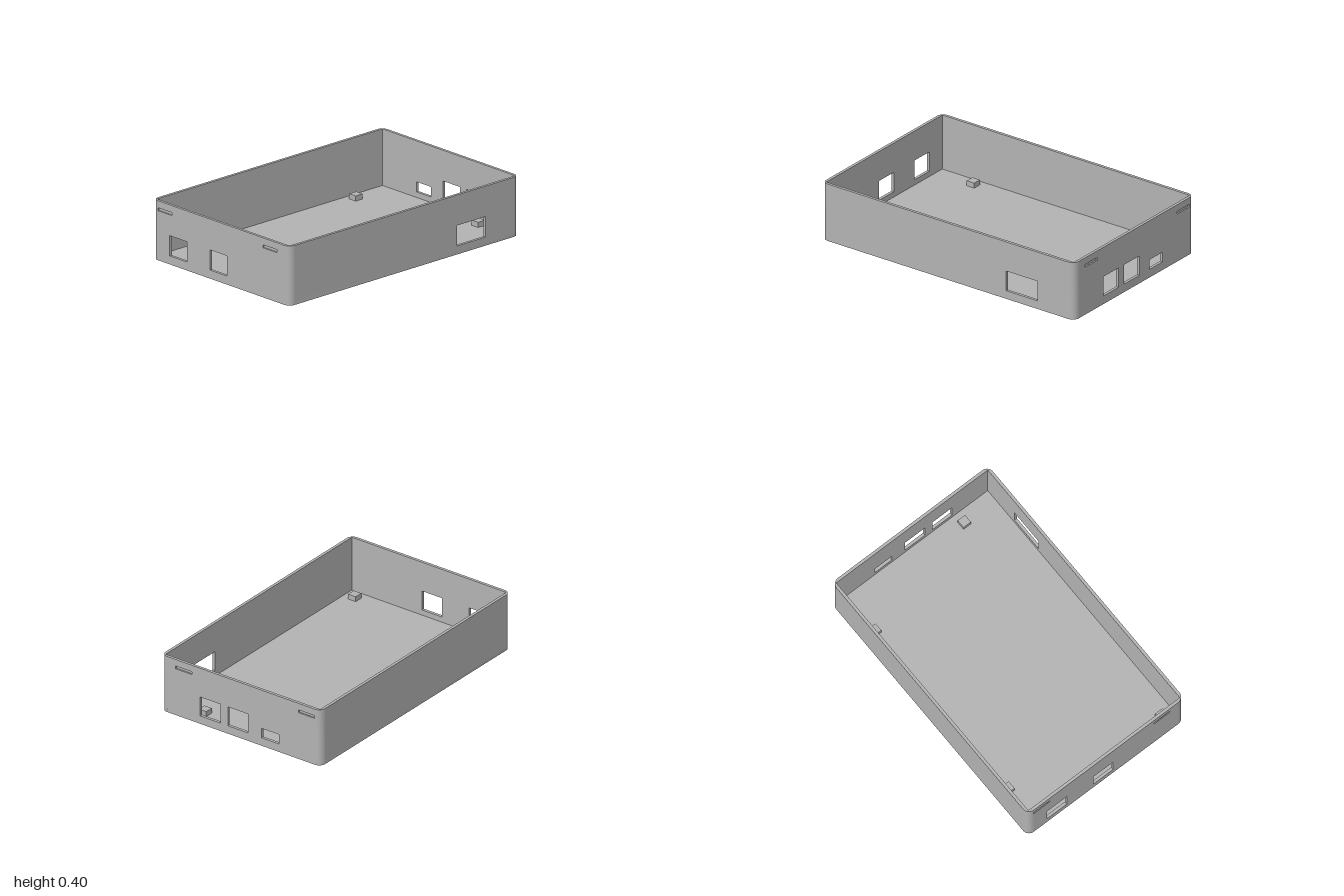
import * as THREE from 'three';
import { toCreasedNormals } from 'three/addons/utils/BufferGeometryUtils.js';

const W = 1, D = 0.633, H = 0.4;   // half width, half depth, height
const T = 0.02, R = 0.048;         // wall thickness, outer corner radius
const GROOVE = 0.01;               // depth of the latch grooves

const plastic = new THREE.MeshStandardMaterial({ color: 0xb3b3b3 });
plastic.name = 'grey plastic';

function extrude(shape, depth) {
  const geo = new THREE.ExtrudeGeometry(shape, { depth, bevelEnabled: false, curveSegments: 12 });
  return toCreasedNormals(geo, 0.6);
}

function addMesh(parent, name, geo) {
  const mesh = new THREE.Mesh(geo, plastic);
  mesh.name = name;
  parent.add(mesh);
  return mesh;
}

// Rectangle [u0, u1, v0, v1] as a list of points
const rect = ([u0, u1, v0, v1]) => [[u0, v0], [u1, v0], [u1, v1], [u0, v1]].map(p => new THREE.Vector2(...p));

// Flat panel with rectangular holes
function panel(half, holes, depth) {
  const shape = new THREE.Shape(rect([-half, half, T, H]));
  for (const h of holes) shape.holes.push(new THREE.Path(rect(h).reverse()));
  return extrude(shape, depth);
}

// Wall of two layers: windows pass through both, grooves only cut the outer one
function addWall(parent, name, half, dist, angle, windows, grooves) {
  const wall = new THREE.Group();
  wall.name = name;
  addMesh(wall, name + 'Inner', panel(half, windows, T - GROOVE)).position.z = dist - T;
  addMesh(wall, name + 'Outer', panel(half, [...windows, ...grooves], GROOVE)).position.z = dist - GROOVE;
  wall.rotation.y = angle;
  parent.add(wall);
}

export function createModel() {
  const box = new THREE.Group();
  box.name = 'openEnclosure';

  // Floor plate with rounded corners
  const plan = new THREE.Shape();
  plan.absarc(W - R, D - R, R, 0, Math.PI / 2);
  plan.absarc(-W + R, D - R, R, Math.PI / 2, Math.PI);
  plan.absarc(-W + R, -D + R, R, Math.PI, Math.PI * 1.5);
  plan.absarc(W - R, -D + R, R, Math.PI * 1.5, Math.PI * 2);
  addMesh(box, 'floor', extrude(plan, T).rotateX(-Math.PI / 2));

  // Walls with port windows and latch grooves
  const q = Math.PI / 2;
  const slots = [[-0.52, -0.39, 0.333, 0.353], [0.455, 0.585, 0.333, 0.353]];
  const mirrored = slots.map(([a, b, c, d]) => [-b, -a, c, d]);
  addWall(box, 'frontWall', W - R, D, 0, [[0.46, 0.707, 0.057, 0.195]], []);
  addWall(box, 'backWall', W - R, D, Math.PI, [], []);
  addWall(box, 'leftWall', D - R, W, q, [
    [-0.325, -0.165, 0.057, 0.193],
    [-0.105, 0.055, 0.057, 0.193],
    [0.163, 0.3, 0.057, 0.125],
  ], slots);
  addWall(box, 'rightWall', D - R, W, -q, [
    [-0.477, -0.317, 0.057, 0.193],
    [-0.103, 0.057, 0.057, 0.193],
  ], mirrored);

  // Corner posts: round outside, square inside
  for (const sx of [1, -1]) {
    for (const sz of [1, -1]) {
      const pts = [];
      for (let i = 0; i <= 12; i++) {
        const a = (i / 12) * q;
        pts.push([W - R + R * Math.cos(a), D - R + R * Math.sin(a)]);
      }
      pts.push([W - R, D - T], [W - T, D - T], [W - T, D - R]);
      // plan y becomes -z once the post is stood upright
      const shape = new THREE.Shape(pts.map(([x, z]) => new THREE.Vector2(sx * x, -sz * z)));
      addMesh(box, 'cornerPost', extrude(shape, H - T).rotateX(-q)).position.y = T;
    }
  }

  // Standoffs for the circuit board
  for (const [x, z] of [[-0.68, -0.54], [0.68, -0.54], [-0.9, 0.53], [0.9, 0.36]]) {
    addMesh(box, 'standoff', new THREE.BoxGeometry(0.06, 0.035, 0.06)).position.set(x, T + 0.0175, z);
  }
  return box;
}
